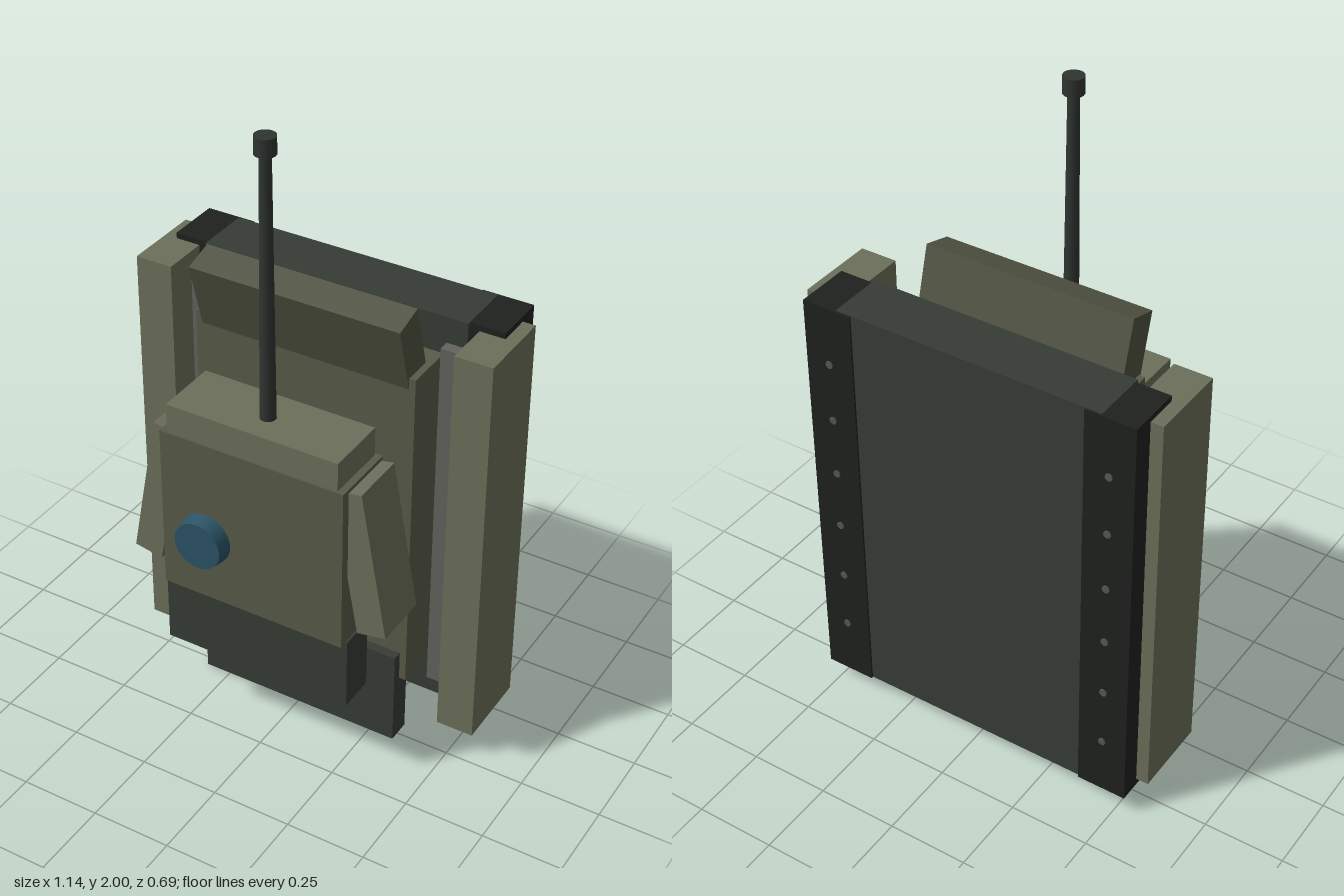
import * as THREE from 'three';

const paint = (color) => new THREE.MeshStandardMaterial({ color });

export function createModel() {
  const model = new THREE.Group();
  model.name = 'uprightTank';

  const olive = paint(0x6b6f59);
  const darkOlive = paint(0x585b48);
  const shadeOlive = paint(0x4f5241);
  const darkGreen = paint(0x363c35);
  const black = paint(0x1f211f);
  const grey = paint(0x62625e);
  const gunMetal = paint(0x303531);
  const teal = paint(0x2a5366);
  const steel = paint(0x555855);

  const add = (name, geometry, material, x, y, z) => {
    const mesh = new THREE.Mesh(geometry, material);
    mesh.name = name;
    mesh.position.set(x, y, z);
    model.add(mesh);
    return mesh;
  };

  // Box given by its lower and upper limits on each axis
  const box = (name, material, [x0, x1], [y0, y1], [z0, z1]) =>
    add(name, new THREE.BoxGeometry(x1 - x0, y1 - y0, z1 - z0), material,
      (x0 + x1) / 2, (y0 + y1) / 2, (z0 + z1) / 2);

  // Cylinder along z, from z0 to z1
  const disc = (name, material, rBack, rFront, x, y, z0, z1, sides = 32) => {
    const geometry = new THREE.CylinderGeometry(rFront, rBack, z1 - z0, sides).rotateX(Math.PI / 2);
    return add(name, geometry, material, x, y, (z0 + z1) / 2);
  };

  // Hull
  box('hullFloor', darkGreen, [-0.423, 0.423], [0.062, 1.398], [-0.336, -0.16]);
  box('hullDeck', darkOlive, [-0.353, 0.353], [0.22, 1.28], [-0.165, 0]);
  box('rearPlate', darkGreen, [-0.332, 0.332], [0, 0.316], [-0.045, 0.03]);
  const glacis = add('glacisPlate', new THREE.BoxGeometry(0.666, 0.218, 0.099), shadeOlive, 0, 1.3635, -0.0175);
  glacis.rotation.x = 0.277;

  // Tracks, skirts and bolts on both sides
  for (const side of [-1, 1]) {
    const label = side > 0 ? 'left' : 'right';
    const span = (a, b) => (side > 0 ? [a, b] : [-b, -a]);
    box(label + 'Track', black, span(0.373, 0.53), [0.06, 1.396], [-0.342, -0.17]);
    box(label + 'TrackGuard', grey, span(0.36, 0.455), [0.143, 1.317], [-0.175, -0.125]);
    box(label + 'Fender', olive, span(0.452, 0.569), [0.083, 1.378], [-0.275, -0.024]);
    for (let i = 0; i < 6; i++) {
      disc(label + 'TrackBolt', steel, 0.012, 0.012, side * 0.452, 0.25 + i * 0.192, -0.346, -0.336, 8);
    }

    // Turret cheek, splayed outward at its lower end
    const cheek = add(label + 'TurretCheek', new THREE.BoxGeometry(0.092, 0.468, 0.178), olive,
      side * 0.3325, 0.8115, 0.165);
    cheek.rotation.z = side * 0.18;
  }

  // Turret
  disc('turretRing', gunMetal, 0.255, 0.246, 0, 0.79, 0.04, 0.078);
  box('turretBody', darkOlive, [-0.296, 0.296], [0.525, 1.055], [0.07, 0.284]);
  box('gunMantlet', olive, [-0.275, 0.275], [1.05, 1.145], [0.077, 0.277]);
  box('turretBustle', darkGreen, [-0.304, 0.304], [0.3, 0.532], [0.15, 0.265]);
  disc('hatch', teal, 0.082, 0.075, -0.14, 0.75, 0.3, 0.346);

  // Gun
  add('gunBarrel', new THREE.CylinderGeometry(0.017, 0.024, 0.83, 16), gunMetal, 0, 1.545, 0.185);
  add('muzzle', new THREE.CylinderGeometry(0.031, 0.031, 0.052, 16), gunMetal, 0, 1.974, 0.185);

  return model;
}
